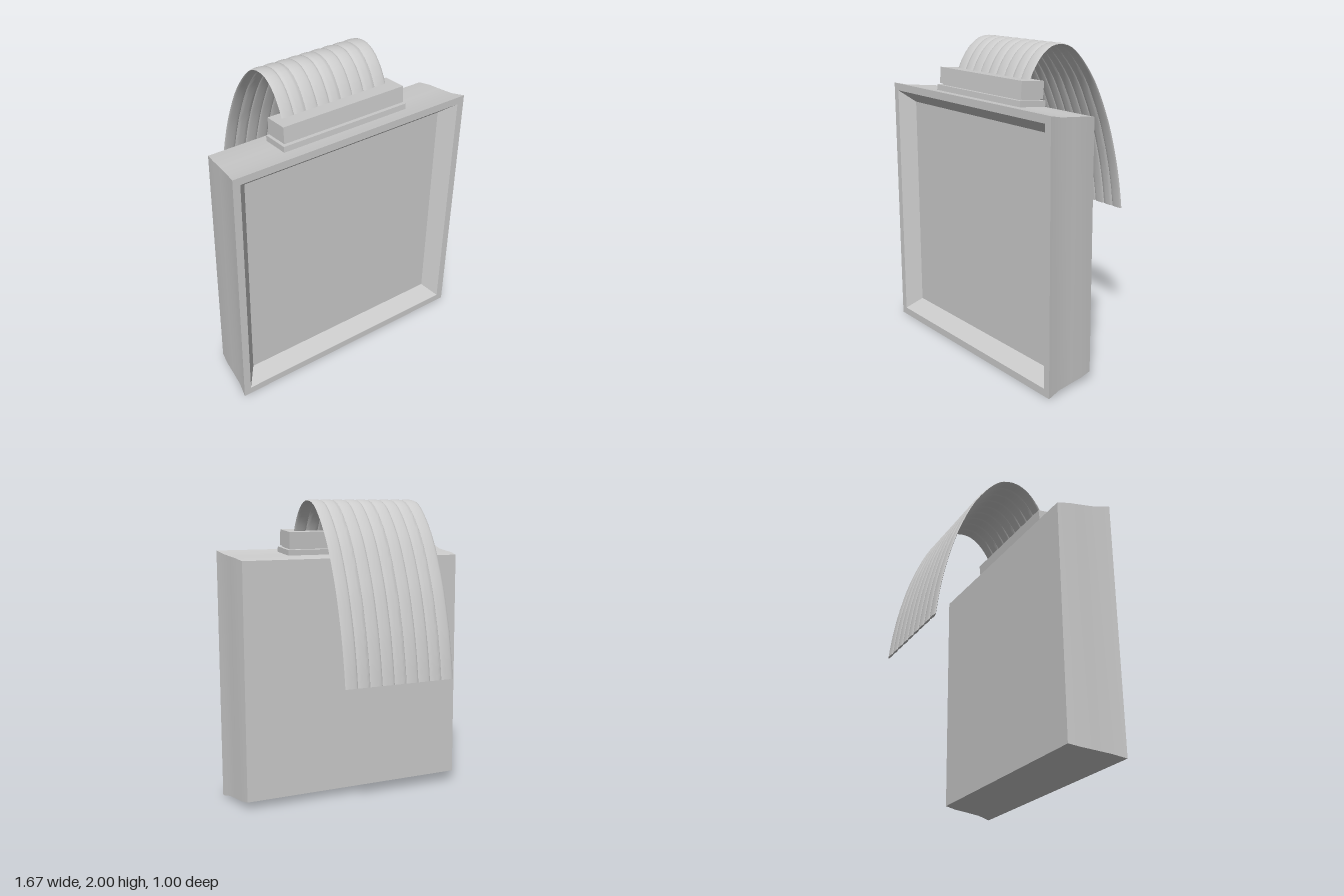
import * as THREE from 'three';
import { toCreasedNormals } from 'three/addons/utils/BufferGeometryUtils.js';

const grey = new THREE.MeshStandardMaterial({ color: 0xcccccc });
grey.name = 'plain grey';

// Closed skin through counterclockwise rings of equal size, capped at both ends
function loft(rings, crease) {
  const n = rings[0].length, index = [];
  for (let r = 0; r < rings.length - 1; r++) {
    for (let i = 0; i < n; i++) {
      const a = r * n + i, b = r * n + (i + 1) % n;
      index.push(a, b, b + n, a, b + n, a + n);
    }
  }
  const last = (rings.length - 1) * n;
  for (let i = 1; i < n - 1; i++) {
    index.push(0, i + 1, i, last, last + i, last + i + 1);
  }
  const g = new THREE.BufferGeometry();
  g.setAttribute('position', new THREE.Float32BufferAttribute(rings.flat(2), 3));
  g.setIndex(index);
  return toCreasedNormals(g, crease);
}

function add(parent, name, geometry) {
  const mesh = new THREE.Mesh(geometry, grey);
  mesh.name = name;
  parent.add(mesh);
  return mesh;
}

export function createModel() {
  const model = new THREE.Group();
  model.name = 'panelWithRibbonCable';

  // Housing: square rings from the back to the rim, then into the shallow recess
  const mid = 0.835;
  const square = ([h, z]) => [[-h, mid - h, z], [h, mid - h, z], [h, mid + h, z], [-h, mid + h, z]];
  const stations = [
    [0.785, 0.14], [0.798, 0.22], [0.806, 0.31], [0.816, 0.41], [0.835, 0.5],
    [0.787, 0.5], [0.711, 0.41],
  ];
  add(model, 'housing', loft(stations.map(square), 0.5));

  // Connector: tilted stack of foot, neck and block
  const connector = new THREE.Group();
  connector.name = 'connector';
  connector.position.set(0, 1.667, 0.313);
  connector.rotation.x = -0.085;
  const layers = [
    ['connectorFoot', 0.885, 0.036, 0.188, 0],
    ['connectorNeck', 0.84, 0.03, 0.13, 0.024],
    ['connectorBlock', 0.862, 0.105, 0.165, 0.08],
  ];
  for (const [name, w, h, d, y] of layers) {
    add(connector, name, new THREE.BoxGeometry(w, h, d)).position.y = y;
  }
  model.add(connector);

  // Ribbon cable: nine flat strands swept side by side along one arc
  const path = new THREE.CatmullRomCurve3([
    [1.775, 0.292], [1.85, 0.255], [1.93, 0.195], [1.98, 0.125], [1.993, 0.06], [1.967, -0.04],
    [1.79, -0.204], [1.508, -0.343], [1.231, -0.428], [1.03, -0.469], [0.882, -0.49],
  ].map(([y, z]) => new THREE.Vector3(0, y, z)));
  const strands = 9, pitch = 0.75 / strands, steps = 48, sides = 16;
  const xAxis = new THREE.Vector3(1, 0, 0);
  for (let s = 0; s < strands; s++) {
    const cx = (s - (strands - 1) / 2) * pitch;
    const rings = [];
    for (let k = 0; k <= steps; k++) {
      const p = path.getPointAt(k / steps);
      const normal = path.getTangentAt(k / steps).cross(xAxis);
      const ring = [];
      for (let i = 0; i < sides; i++) {
        const a = (i / sides) * Math.PI * 2;
        const q = p.clone().addScaledVector(normal, Math.sin(a) * 0.007);
        ring.push([cx + Math.cos(a) * pitch * 0.51, q.y, q.z]);
      }
      rings.push(ring);
    }
    add(model, 'cableStrand' + (s + 1), loft(rings, 1.2));
  }
  return model;
}
